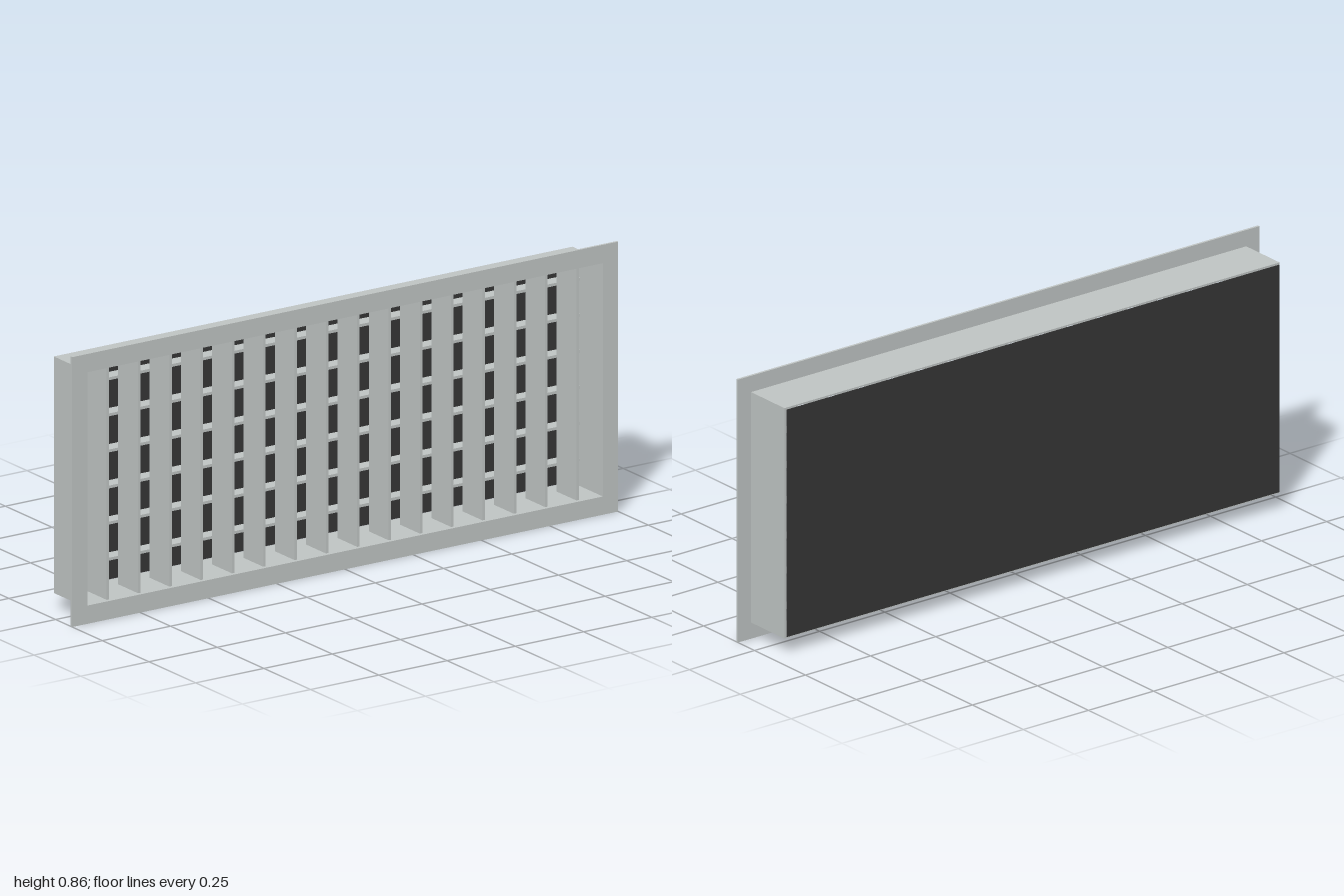
import * as THREE from 'three';

export function createModel() {
  const group = new THREE.Group();
  const metal = new THREE.MeshStandardMaterial({ color: 0xbfc4c3 });
  metal.name = 'pale grey metal';
  const dark = new THREE.MeshStandardMaterial({ color: 0x363636 });
  dark.name = 'dark backing';

  const midY = 0.429;

  function add(name, geometry, material, x = 0, y = 0, z = 0) {
    const mesh = new THREE.Mesh(geometry, material);
    mesh.name = name;
    mesh.position.set(x, y, z);
    group.add(mesh);
  }

  // Rectangular ring extruded along z, centred on the grille's mid height
  function ring(outerW, outerH, innerW, innerH, depth) {
    const corners = (w, h) => [[-w, -h], [w, -h], [w, h], [-w, h]]
      .map(([x, y]) => new THREE.Vector2(x / 2, y / 2));
    const shape = new THREE.Shape(corners(outerW, outerH));
    shape.holes.push(new THREE.Path(corners(innerW, innerH).reverse()));
    return new THREE.ExtrudeGeometry(shape, { depth, bevelEnabled: false });
  }

  // Front flange and the sleeve behind it
  const innerW = 1.888, innerH = 0.742;
  add('frontFlange', ring(2, 0.858, innerW, innerH, 0.008), metal, 0, midY, 0.081);
  add('sleeve', ring(1.9, 0.752, innerW, innerH, 0.164), metal, 0, midY, -0.083);

  // Upright front blades
  const pitch = 0.1147;
  const blade = new THREE.BoxGeometry(0.009, innerH, 0.106);
  for (let i = 0; i < 16; i++) {
    add('verticalBlade', blade, metal, (i - 7.5) * pitch, midY, 0.023);
  }

  // Level blades behind the upright ones
  const slat = new THREE.BoxGeometry(innerW, 0.009, 0.045);
  for (let i = 0; i < 6; i++) {
    add('horizontalBlade', slat, metal, 0, midY + (i - 2.5) * pitch, -0.057);
  }

  // Thin dark sheet closing the back
  add('backPanel', new THREE.BoxGeometry(1.89, 0.742, 0.002), dark, 0, midY, -0.087);

  return group;
}
